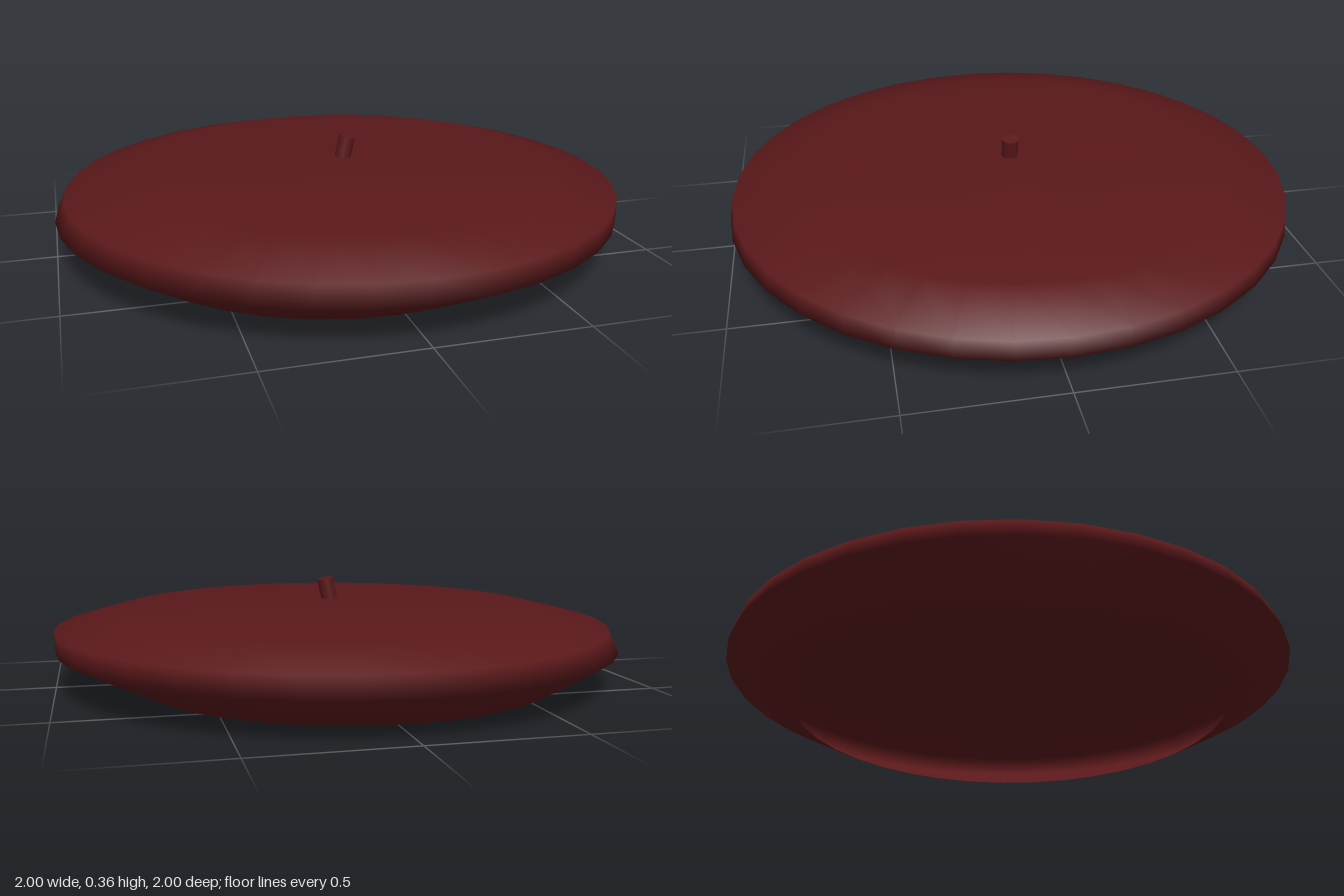
import * as THREE from 'three';

export function createModel() {
  const model = new THREE.Group();
  const material = new THREE.MeshStandardMaterial({ color: 0x5a181a, side: THREE.DoubleSide });

  // Hollow dome, open underneath: a lathed shell that leans towards +x with height
  const profile = [[0.77, 0], [0.998, 0.127], [0.983, 0.2], [0.77, 0.255], [0.37, 0.277], [0, 0.284]]
    .map(([r, y]) => new THREE.Vector2(r, y));
  const shell = new THREE.LatheGeometry(profile, 36);
  const pos = shell.attributes.position;
  for (let i = 0; i < pos.count; i++) {
    pos.setX(i, pos.getX(i) + 0.245 * (pos.getY(i) - 0.129));
  }
  shell.computeVertexNormals();
  // Close the shading seam where the lathe starts and ends
  const normal = shell.attributes.normal;
  const rings = profile.length, last = pos.count - rings;
  for (let j = 0; j < rings; j++) {
    const a = new THREE.Vector3().fromBufferAttribute(normal, j);
    const b = new THREE.Vector3().fromBufferAttribute(normal, last + j);
    a.add(b).normalize();
    normal.setXYZ(j, a.x, a.y, a.z);
    normal.setXYZ(last + j, a.x, a.y, a.z);
  }
  const cap = new THREE.Mesh(shell, material);
  cap.name = 'cap';
  model.add(cap);

  // Short tilted stem on the crown
  const stem = new THREE.Mesh(new THREE.CylinderGeometry(0.029, 0.029, 0.078, 16), material);
  stem.name = 'stem';
  stem.position.set(0.036, 0.319, 0);
  stem.rotation.z = -0.22;
  model.add(stem);

  return model;
}
